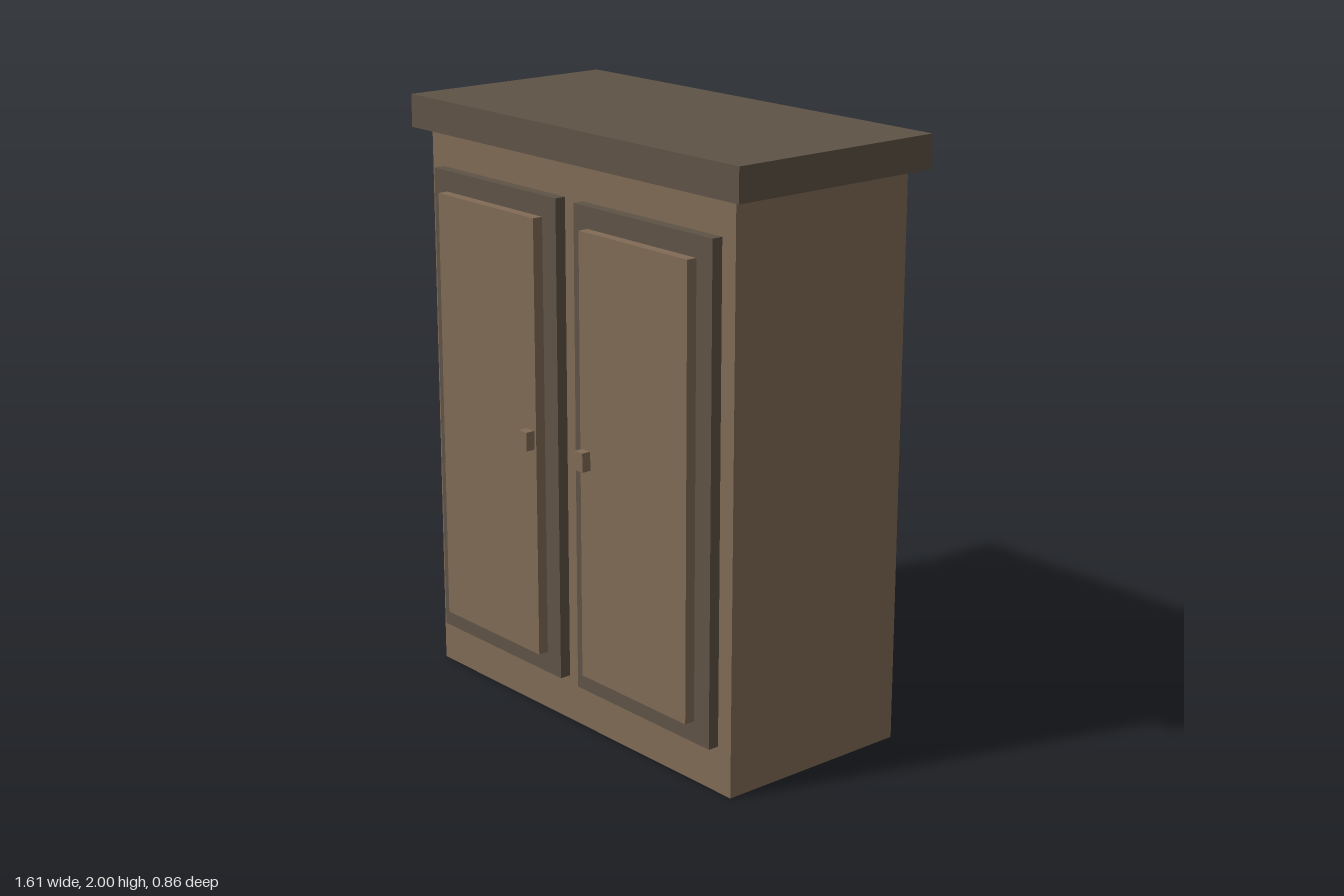
import * as THREE from 'three';

export function createModel() {
  const cabinet = new THREE.Group();
  cabinet.name = 'cabinet';

  const lightWood = new THREE.MeshStandardMaterial({ color: 0x806b55 });
  lightWood.name = 'lightWood';
  const darkWood = new THREE.MeshStandardMaterial({ color: 0x5f5346 });
  darkWood.name = 'darkWood';

  // Adds a box given its extents along each axis
  function block(parent, name, material, [x0, x1], [y0, y1], [z0, z1]) {
    const geometry = new THREE.BoxGeometry(x1 - x0, y1 - y0, z1 - z0);
    const mesh = new THREE.Mesh(geometry, material);
    mesh.name = name;
    mesh.position.set((x0 + x1) / 2, (y0 + y1) / 2, (z0 + z1) / 2);
    parent.add(mesh);
  }

  // Carcass and overhanging top
  block(cabinet, 'body', lightWood, [-0.75, 0.75], [0, 1.89], [-0.385, 0.322]);
  block(cabinet, 'top', darkWood, [-0.807, 0.807], [1.89, 2], [-0.428, 0.364]);

  // Mirrored doors, each with a raised panel and a small knob
  for (const [name, side] of [['leftDoor', 1], ['rightDoor', -1]]) {
    const door = new THREE.Group();
    door.name = name;
    const span = (a, b) => (side > 0 ? [a, b] : [-b, -a]);
    block(door, 'doorFrame', darkWood, span(0.045, 0.691), [0.155, 1.77], [0.322, 0.36]);
    block(door, 'doorPanel', lightWood, span(0.114, 0.621), [0.227, 1.7], [0.36, 0.396]);
    block(door, 'knob', lightWood, span(0.123, 0.163), [0.937, 1.0], [0.396, 0.428]);
    cabinet.add(door);
  }

  return cabinet;
}
